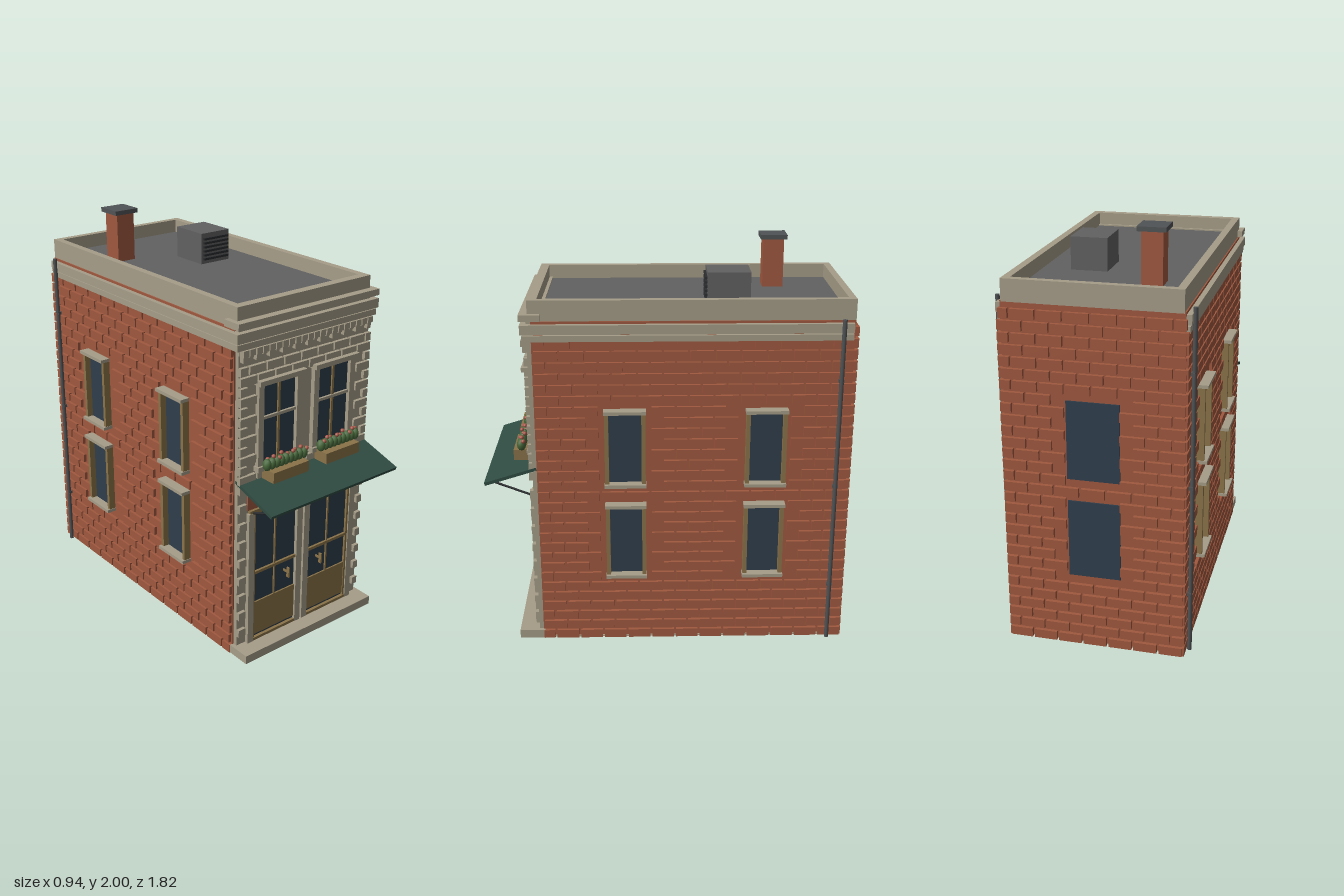
import * as THREE from 'three';
import { mergeGeometries } from 'three/addons/utils/BufferGeometryUtils.js';

const flat = (name, color) => {
  const m = new THREE.MeshStandardMaterial({ color });
  m.name = name;
  return m;
};

export function createModel() {
  const brick = flat('brick', 0xa0593f), stone = flat('stone', 0xa69d88), glass = flat('glass', 0x2f3e4c);
  const wood = flat('wood', 0x8a7349), roofGrey = flat('roofGrey', 0x616161), metal = flat('metal', 0x505355);
  const green = flat('awningGreen', 0x2f4c42), leaf = flat('leaf', 0x47683a), bloom = flat('bloom', 0xa85446);
  const iron = flat('darkIron', 0x2b2d2f);
  const model = new THREE.Group();

  // Box geometry given by its limits
  const boxGeo = (x0, x1, y0, y1, z0, z1) =>
    new THREE.BoxGeometry(Math.abs(x1 - x0), y1 - y0, Math.abs(z1 - z0))
      .translate((x0 + x1) / 2, (y0 + y1) / 2, (z0 + z1) / 2);
  const add = (name, mat, geo) => {
    const mesh = new THREE.Mesh(geo, mat);
    mesh.name = name;
    model.add(mesh);
    return mesh;
  };
  const box = (name, mat, ...limits) => add(name, mat, boxGeo(...limits));
  // The same box on both sides of x = 0
  const pair = (name, mat, x0, x1, ...rest) => {
    box(name + 'Left', mat, x0, x1, ...rest);
    box(name + 'Right', mat, -x1, -x0, ...rest);
  };
  const rod = (name, mat, a, b, r) => {
    const d = b.clone().sub(a);
    const mesh = add(name, mat, new THREE.CylinderGeometry(r, r, d.length(), 8));
    mesh.position.copy(a).addScaledVector(d, 0.5);
    mesh.quaternion.setFromUnitVectors(new THREE.Vector3(0, 1, 0), d.normalize());
  };

  // Staggered courses of raised blocks, leaving out those that meet a hole [u0, u1, v0, v1]
  const courses = (name, mat, [u0, u1], [v0, v1], rowH, len, gap, holes, place) => {
    const parts = [];
    const rows = Math.round((v1 - v0) / rowH);
    for (let r = 0; r < rows; r++) {
      const y0 = v0 + r * rowH, y1 = y0 + rowH - gap;
      for (let u = u0 - (r % 2) * len / 2; u < u1 - 0.005; u += len) {
        const a = Math.max(u, u0), b = Math.min(u + len - gap, u1);
        if (b - a < 0.015) continue;
        if (holes.some(h => b > h[0] && a < h[1] && y1 > h[2] && y0 < h[3])) continue;
        parts.push(place(a, b, y0, y1));
      }
    }
    add(name, mat, mergeGeometries(parts));
  };

  // Walls and base
  box('foundation', stone, -0.425, 0.425, 0, 0.008, -0.885, 0.65);
  box('wallCore', brick, -0.418, 0.418, 0.008, 1.7, -0.888, 0.648);
  box('frontStep', stone, -0.43, 0.43, 0, 0.045, 0.64, 0.77);
  box('facadeCore', stone, -0.41, 0.41, 0.045, 1.7, 0.645, 0.67);

  // Side and back windows, two storeys
  const storeys = [[0.365, 0.77], [0.865, 1.265]];
  const sideZ = [0.21, -0.48];
  const sideHoles = [];
  for (const [y0, y1] of storeys) {
    for (const z of sideZ) {
      sideHoles.push([z - 0.1, z + 0.1, y0, y1]);
      pair('sideGlass', glass, 0.415, 0.423, y0 + 0.01, y1 - 0.01, z - 0.09, z + 0.09);
      pair('sideFrameFront', wood, 0.415, 0.455, y0 + 0.01, y1 - 0.01, z + 0.08, z + 0.1);
      pair('sideFrameBack', wood, 0.415, 0.455, y0 + 0.01, y1 - 0.01, z - 0.1, z - 0.08);
      pair('sideSill', stone, 0.415, 0.47, y0, y0 + 0.017, z - 0.103, z + 0.103);
      pair('sideLintel', stone, 0.415, 0.47, y1 - 0.017, y1, z - 0.103, z + 0.103);
    }
    box('backGlass', glass, -0.125, 0.125, y0 + 0.005, y1 - 0.01, -0.895, -0.887);
  }
  const backHoles = storeys.map(([y0, y1]) => [-0.125, 0.125, y0 + 0.01, y1 - 0.01]);

  // Brick courses
  for (const s of [1, -1]) {
    courses(s > 0 ? 'leftBricks' : 'rightBricks', brick, [-0.9, 0.645], [0, 1.624], 0.056, 0.124, 0.011, sideHoles,
      (a, b, y0, y1) => boxGeo(s * 0.415, s * 0.434, y0, y1, a, b));
  }
  courses('backBricks', brick, [-0.425, 0.425], [0, 1.68], 0.056, 0.124, 0.011, backHoles,
    (a, b, y0, y1) => boxGeo(a, b, y0, y1, -0.906, -0.885));

  // Facade stones, clear of shopfront and upper windows
  courses('facadeStones', stone, [-0.41, 0.41], [0.05, 1.53], 0.0493, 0.105, 0.009,
    [[-0.36, 0.36, 0, 0.9], [-0.31, -0.035, 1, 1.42], [0.035, 0.31, 1, 1.42]],
    (a, b, y0, y1) => boxGeo(a, b, y0, y1, 0.665, 0.688));

  // Dentils below the cornice
  const dentils = [];
  for (let i = 0; i < 21; i++) {
    const x = -0.39 + i * 0.039;
    dentils.push(boxGeo(x - 0.012, x + 0.012, i % 2 ? 1.565 : 1.545, 1.6, 0.665, 0.692));
    dentils.push(boxGeo(x - 0.016, x + 0.016, 1.575, 1.605, 0.665, 0.7));
  }
  add('dentils', stone, mergeGeometries(dentils));

  // Cornice bands around front and sides
  box('corniceLow', stone, -0.435, 0.435, 1.605, 1.635, -0.88, 0.69);
  box('corniceMiddle', stone, -0.442, 0.442, 1.642, 1.688, -0.88, 0.698);
  box('corniceFrontTop', stone, -0.438, 0.438, 1.705, 1.737, 0.6, 0.702);

  // Parapet and roof
  pair('parapetSide', stone, 0.375, 0.412, 1.695, 1.8, -0.89, 0.662);
  box('parapetFront', stone, -0.375, 0.375, 1.695, 1.8, 0.617, 0.662);
  box('parapetBack', stone, -0.375, 0.375, 1.695, 1.8, -0.89, -0.855);
  box('roof', roofGrey, -0.38, 0.38, 1.69, 1.73, -0.86, 0.62);

  // Chimney
  box('chimney', brick, -0.256, -0.154, 1.72, 1.98, -0.608, -0.502);
  box('chimneyCap', metal, -0.273, -0.137, 1.978, 2, -0.623, -0.487);

  // Rooftop air unit with louvres
  box('airUnit', roofGrey, 0.055, 0.235, 1.72, 1.89, -0.405, -0.195);
  for (let i = 0; i < 6; i++) {
    const y = 1.75 + i * 0.021;
    box('louvre', iron, 0.065, 0.225, y, y + 0.011, -0.196, -0.184);
  }

  // Downpipes with brackets
  for (const s of [1, -1]) {
    rod('downpipe', metal, new THREE.Vector3(s * 0.448, 0, -0.83), new THREE.Vector3(s * 0.448, 1.71, -0.83), 0.011);
  }
  for (const y of [0.3, 0.85, 1.4]) pair('pipeBracket', metal, 0.425, 0.452, y, y + 0.015, -0.843, -0.817);

  // Upper front windows
  pair('upperGlass', glass, 0.07, 0.275, 1.02, 1.42, 0.668, 0.674);
  pair('upperJambInner', stone, 0.038, 0.07, 1, 1.42, 0.665, 0.694);
  pair('upperJambOuter', stone, 0.275, 0.307, 1, 1.42, 0.665, 0.694);
  pair('upperLintel', stone, 0.03, 0.315, 1.418, 1.442, 0.665, 0.714);
  pair('upperSill', stone, 0.03, 0.315, 0.985, 1.01, 0.665, 0.705);
  pair('upperMullion', wood, 0.166, 0.179, 1.01, 1.42, 0.67, 0.682);
  pair('upperCrossbar', stone, 0.07, 0.275, 1.238, 1.252, 0.67, 0.686);

  // Window boxes with plants
  const ball = r => new THREE.IcosahedronGeometry(r, 1);
  for (const s of [1, -1]) {
    box('flowerBox', wood, s * 0.058, s * 0.28, 0.945, 1, 0.692, 0.775);
    const leaves = [], blooms = [];
    for (let i = 0; i < 9; i++) {
      const x = s * (0.058 + i * 0.0285);
      leaves.push(ball(0.026).scale(0.8, 1.2, 0.9).translate(x, 1.03, 0.733));
      blooms.push(ball(0.011).translate(x + 0.012, 1.052 + (i % 2) * 0.01, 0.742 - (i % 3) * 0.01));
    }
    add('plants', leaf, mergeGeometries(leaves));
    add('blossoms', bloom, mergeGeometries(blooms));
  }

  // Shopfront: two bays between stone pilasters
  box('brickTransom', brick, -0.352, 0.352, 0.785, 0.86, 0.665, 0.676);
  pair('shopGlass', glass, 0.042, 0.32, 0.06, 0.77, 0.668, 0.674);
  pair('shopPanel', wood, 0.042, 0.308, 0.075, 0.262, 0.67, 0.682);
  pair('shopRail', wood, 0.042, 0.32, 0.425, 0.44, 0.67, 0.686);
  pair('shopHead', wood, 0.042, 0.345, 0.762, 0.785, 0.67, 0.69);
  pair('shopThreshold', wood, 0.042, 0.32, 0.045, 0.06, 0.67, 0.69);
  pair('shopStile', wood, 0.308, 0.32, 0.06, 0.765, 0.67, 0.686);
  pair('shopMullion', wood, 0.173, 0.181, 0.262, 0.765, 0.67, 0.682);
  pair('pilaster', stone, 0.32, 0.355, 0.045, 0.77, 0.665, 0.692);
  pair('centrePilaster', stone, 0.006, 0.042, 0.045, 0.78, 0.665, 0.692);
  box('pilasterCap', stone, -0.042, 0.042, 0.78, 0.8, 0.665, 0.7);
  pair('doorHandle', wood, 0.106, 0.114, 0.345, 0.4, 0.7, 0.718);
  pair('handleMount', wood, 0.107, 0.113, 0.367, 0.378, 0.67, 0.705);

  // Sloping awning with struts
  const awning = add('awning', green, new THREE.BoxGeometry(0.82, 0.016, 0.272));
  awning.position.set(0, 0.908, 0.781);
  awning.rotation.x = Math.atan2(0.08, 0.26);
  for (const s of [1, -1]) {
    rod('awningStrut', iron, new THREE.Vector3(s * 0.325, 0.77, 0.685), new THREE.Vector3(s * 0.325, 0.845, 0.875), 0.006);
  }
  return model;
}
